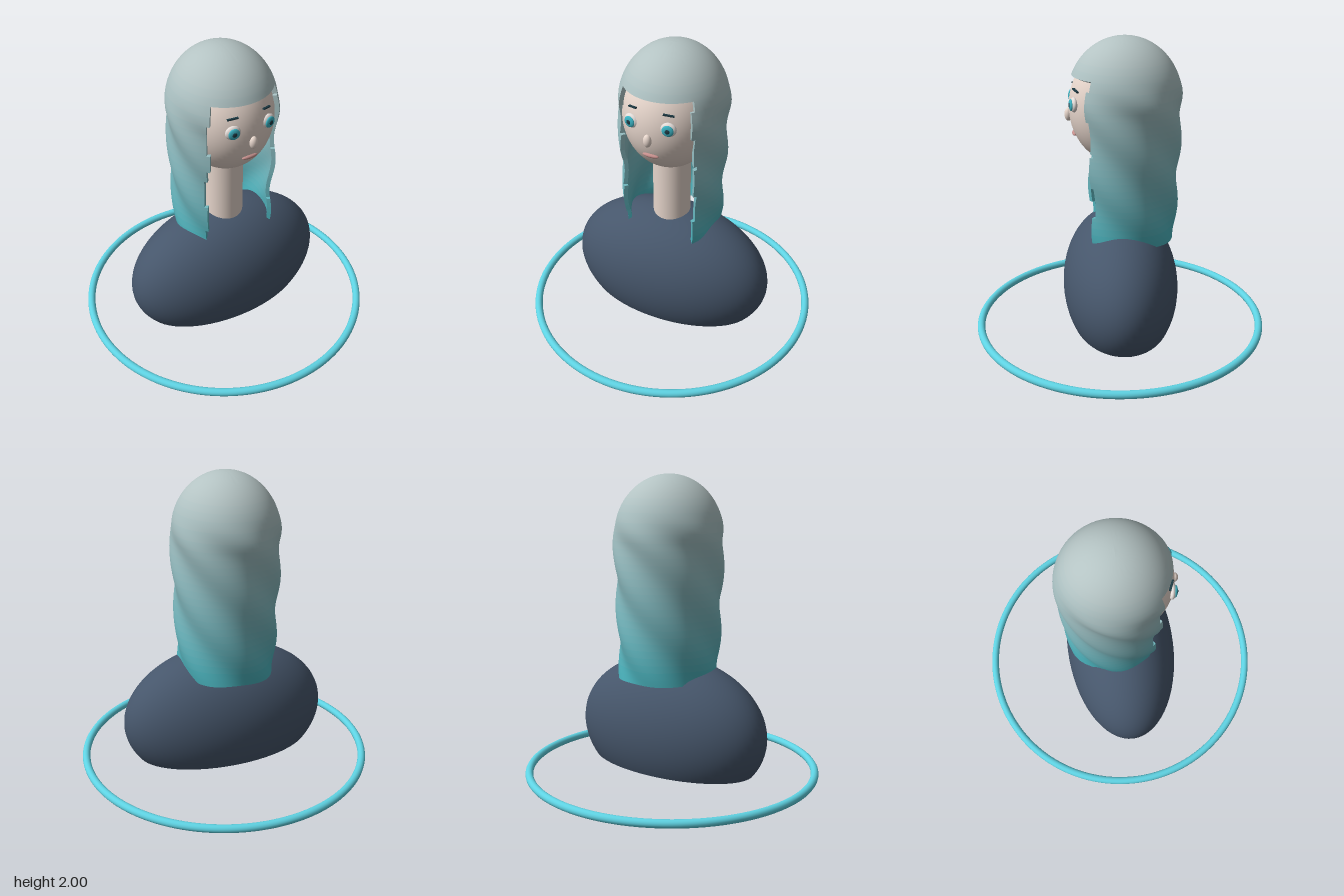
import * as THREE from 'three';
import { toCreasedNormals } from 'three/addons/utils/BufferGeometryUtils.js';

const SKIN = 0xe6d5cb, NAVY = 0x46566b, TEAL = 0x5fd3e3, DARK = 0x1d3a44;

function add(parent, name, geometry, color, x, y, z) {
  const mesh = new THREE.Mesh(geometry, new THREE.MeshStandardMaterial({ color }));
  mesh.name = name;
  mesh.position.set(x, y, z);
  parent.add(mesh);
  return mesh;
}

const ellipsoid = (rx, ry, rz, w = 32, h = 24) =>
  new THREE.SphereGeometry(1, w, h).scale(rx, ry, rz);

// Hair: a thick grid shell, round on top, rippled below, with the face cells left out
function hair() {
  const COLS = 96, CY = 1.6, CZ = -0.03, FRINGE = 1.76, END = 0.67;
  const RX = 0.35, RY = 0.4, RZ = 0.37, THICK = 0.92;
  const ys = [];
  const edge = Math.acos((FRINGE - CY) / RY);
  for (let i = 0; i <= 18; i++) ys.push(CY + RY * Math.cos(edge * i / 18));
  for (let i = 1; i <= 5; i++) ys.push(CY + RY * Math.cos(edge + (Math.PI / 2 - edge) * i / 5));
  for (let i = 1; i <= 41; i++) ys.push(CY + (END - CY) * i / 41);
  const rows = ys.length - 1;
  const twist = (t, y) => Math.sin(5 * t + 15 * y - 1.55);

  const positions = [];
  for (const scale of [1, THICK]) {
    for (const y of ys) {
      const round = y > CY ? Math.sqrt(Math.max(0, 1 - ((y - CY) / RY) ** 2)) : 1;
      const taper = y < CY ? 1 - 0.09 * (CY - y) / (CY - END) : 1;
      const ripple = 0.035 * THREE.MathUtils.smoothstep(FRINGE - y, 0, 0.25);
      for (let j = 0; j < COLS; j++) {
        const t = j / COLS * Math.PI * 2;
        const angle = t > Math.PI ? t - Math.PI * 2 : t;
        const r = scale * round * taper * (1 + ripple * twist(angle, y));
        positions.push(r * RX * Math.sin(t), y > CY ? CY + (y - CY) * scale : y, CZ + r * RZ * Math.cos(t));
      }
    }
  }

  // The edge beside the face is stepped, following the twist
  const solid = (i, j) => {
    if (i < 0) return true;
    if (i >= rows) return false;
    const y = (ys[i] + ys[i + 1]) / 2;
    if (y > FRINGE) return true;
    const col = (j + COLS) % COLS;
    const fromFront = Math.min(col, COLS - 1 - col);
    const side = col < COLS / 2 ? 0.83 : -0.83;
    return fromFront >= (y > 1.3 ? 12 : 13) + (twist(side, y) < 0 ? 1 : 0);
  };
  const inner = COLS * ys.length;
  const id = (i, j) => i * COLS + (j + COLS) % COLS;
  const index = [], starts = [];
  const quad = (a, b, c, d) => index.push(a, b, c, a, c, d);
  for (let i = 0; i < rows; i++) {
    starts.push(index.length);
    for (let j = 0; j < COLS; j++) {
      if (!solid(i, j)) continue;
      const k = [id(i, j), id(i + 1, j), id(i + 1, j + 1), id(i, j + 1)];
      quad(...k);
      quad(...k.map(v => v + inner).reverse());
      const open = [!solid(i, j - 1), !solid(i + 1, j), !solid(i, j + 1), !solid(i - 1, j)];
      open.forEach((isOpen, e) => {
        const p = k[e], q = k[(e + 1) % 4];
        if (isOpen) quad(q, p, p + inner, q + inner);
      });
    }
  }
  starts.push(index.length);

  let geometry = new THREE.BufferGeometry();
  geometry.setAttribute('position', new THREE.Float32BufferAttribute(positions, 3));
  geometry.setIndex(index);
  // Colour bands fade from grey at the crown to teal at the ends
  const materials = [];
  for (let i = 0; i < rows; i += 2) {
    const last = Math.min(i + 2, rows);
    const fade = THREE.MathUtils.clamp((1.9 - ys[i]) / 1.15, 0, 1);
    const color = new THREE.Color(0xb4c3c3).lerp(new THREE.Color(0x4ab4be), fade);
    geometry.addGroup(starts[i], starts[last] - starts[i], materials.length);
    materials.push(new THREE.MeshStandardMaterial({ color }));
  }
  geometry = toCreasedNormals(geometry, 0.9);
  const mesh = new THREE.Mesh(geometry, materials);
  mesh.name = 'hair';
  return mesh;
}

export function createModel() {
  const model = new THREE.Group();
  model.name = 'bust';

  // Ring on the ground
  add(model, 'baseRing', new THREE.TorusGeometry(0.966, 0.026, 16, 128).rotateX(Math.PI / 2), TEAL, 0, 0.028, 0);

  // Shoulders: ellipsoid cut open at the bottom
  const shoulders = new THREE.SphereGeometry(1, 64, 40, 0, Math.PI * 2, 0, Math.acos(-0.24 / 0.49));
  add(model, 'shoulders', shoulders.scale(0.71, 0.49, 0.39), NAVY, 0, 0.31, 0).material.side = THREE.DoubleSide;

  add(model, 'neck', new THREE.CylinderGeometry(0.125, 0.125, 0.6, 40), SKIN, 0, 1.0, 0);

  // Head and face
  const head = new THREE.Group();
  head.name = 'head';
  model.add(head);
  add(head, 'skull', ellipsoid(0.31, 0.38, 0.33, 64, 40), SKIN, 0, 1.55, 0);
  add(head, 'nose', ellipsoid(0.027, 0.043, 0.025), SKIN, 0, 1.5, 0.333);
  add(head, 'mouth', ellipsoid(0.055, 0.014, 0.016), 0xc58f8c, 0, 1.376, 0.295);
  for (const [side, s] of [['left', 1], ['right', -1]]) {
    const eye = new THREE.Group();
    eye.name = side + 'Eye';
    eye.position.set(s * 0.125, 1.593, 0.298);
    eye.rotation.y = s * 0.2;
    head.add(eye);
    add(eye, 'eyeball', ellipsoid(0.051, 0.047, 0.024), 0xe4dcd8, 0, 0, 0);
    add(eye, 'iris', ellipsoid(0.037, 0.037, 0.012), 0x3cb4c4, 0, 0, 0.019);
    add(eye, 'pupil', ellipsoid(0.016, 0.016, 0.006), DARK, 0, 0, 0.028);
    const brow = add(head, side + 'Eyebrow', new THREE.BoxGeometry(0.07, 0.009, 0.014), DARK, s * 0.121, 1.682, 0.286);
    brow.rotation.set(0, s * 0.4, -s * 0.17);
  }

  model.add(hair());
  return model;
}
